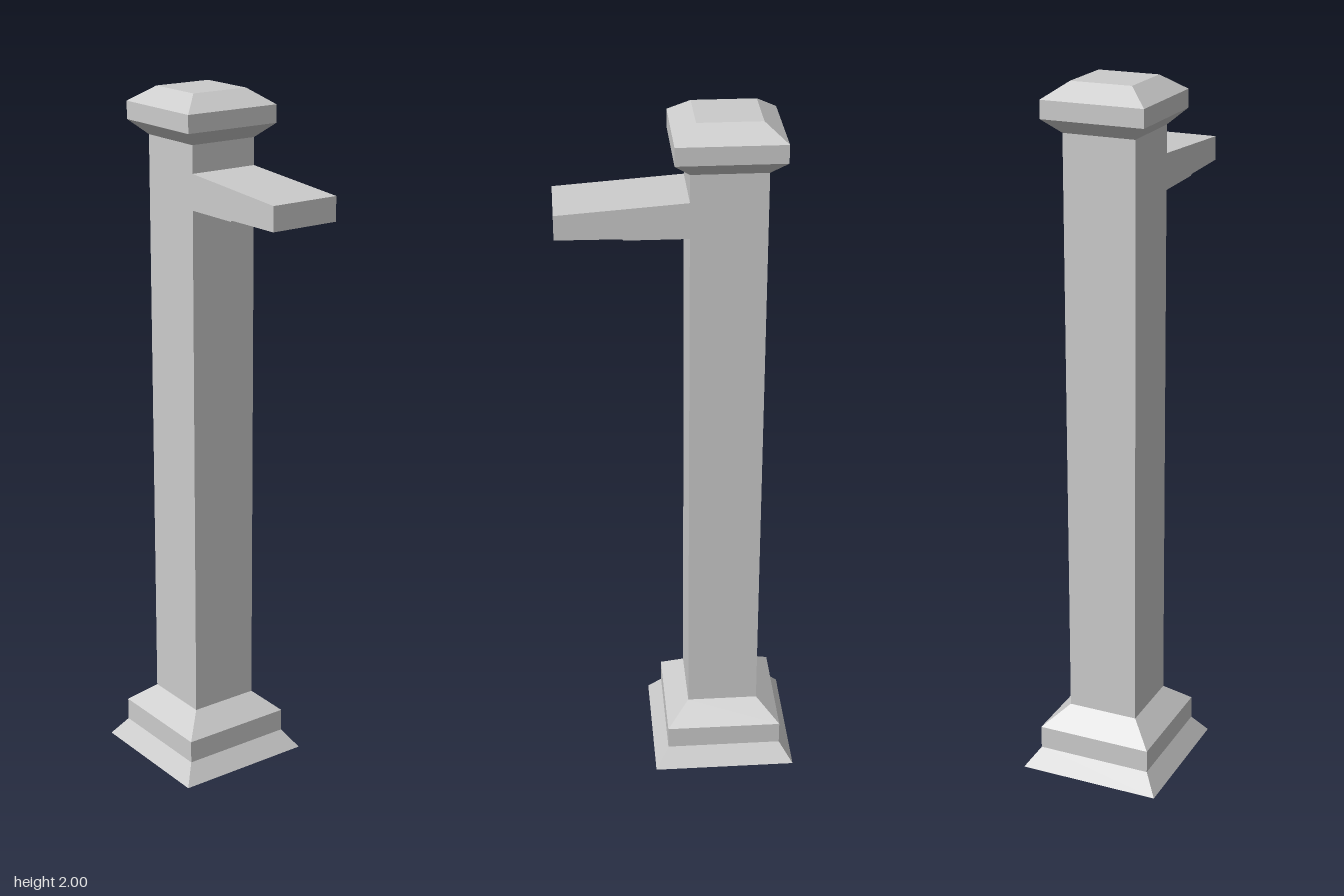
import * as THREE from 'three';

const material = new THREE.MeshStandardMaterial({ color: 0xcccccc, flatShading: true, side: THREE.DoubleSide });
const POST_Z = -0.125;
const POST_HALF = 0.103;

// Square stepped solid from [half width, y] pairs, bottom to top
function squareLathe(name, profile) {
  const points = profile.map(([half, y]) => new THREE.Vector2(half * Math.SQRT2, y));
  const geometry = new THREE.LatheGeometry(points, 4, Math.PI / 4).toNonIndexed();
  geometry.computeVertexNormals();
  const mesh = new THREE.Mesh(geometry, material);
  mesh.position.z = POST_Z;
  mesh.name = name;
  return mesh;
}

// Side profile of [z, y] points, extruded across x and centred on the given x
function sideProfile(name, profile, width, x = 0) {
  const shape = new THREE.Shape(profile.map(([z, y]) => new THREE.Vector2(z, y)));
  const geometry = new THREE.ExtrudeGeometry(shape, { depth: width, bevelEnabled: false });
  geometry.translate(0, 0, -width / 2).rotateY(-Math.PI / 2);
  const mesh = new THREE.Mesh(geometry, material);
  mesh.position.x = x;
  mesh.name = name;
  return mesh;
}

export function createModel() {
  const model = new THREE.Group();
  model.name = 'postWithArm';

  // Stepped foot, square shaft and chamfered cap
  model.add(squareLathe('base', [[0, 0], [0.207, 0], [0.168, 0.055], [0.168, 0.122], [POST_HALF, 0.18]]));
  model.add(squareLathe('shaft', [[POST_HALF, 0.18], [POST_HALF, 1.867]]));
  model.add(squareLathe('cap', [[POST_HALF, 1.867], [0.146, 1.907], [0.146, 1.957], [0.087, 2], [0, 2]]));

  // Tapered arm, hollow underneath
  const arm = new THREE.Group();
  arm.name = 'arm';
  const back = POST_Z + POST_HALF, front = 0.332, soffit = 1.737, wall = 0.003;
  arm.add(sideProfile('armSlab', [[back, soffit], [front, soffit], [front, 1.765], [back, 1.79]], POST_HALF * 2));
  for (const side of [-1, 1]) {
    arm.add(sideProfile(side > 0 ? 'leftSkirt' : 'rightSkirt',
      [[back, 1.69], [0.15, 1.691], [0.155, 1.695], [front, 1.697], [front, soffit], [back, soffit]],
      wall, side * (POST_HALF - wall / 2)));
  }
  arm.add(sideProfile('frontSkirt',
    [[front - wall, 1.697], [front, 1.697], [front, soffit], [front - wall, soffit]], (POST_HALF - wall) * 2));
  model.add(arm);

  return model;
}
